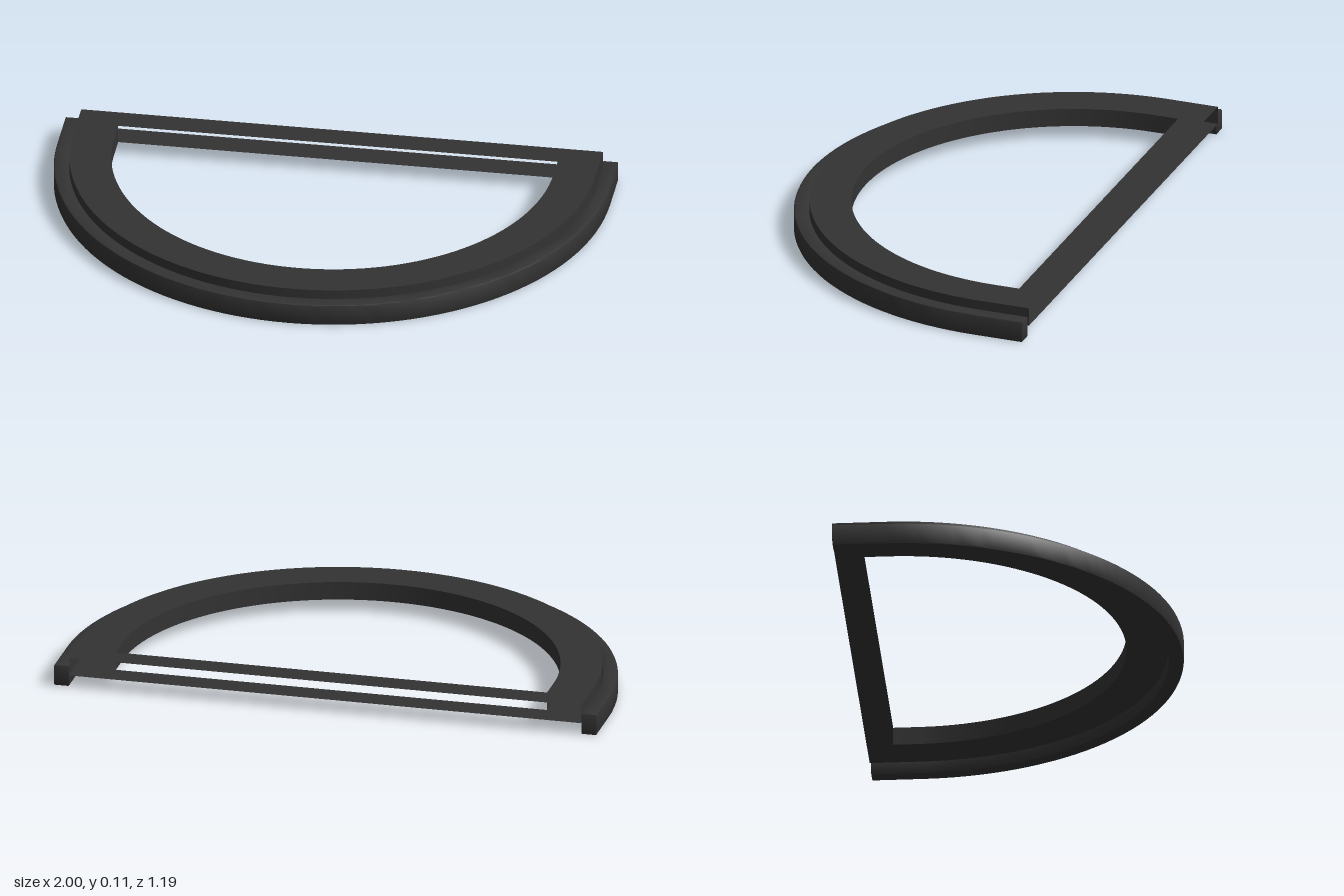
import * as THREE from 'three';
import { toCreasedNormals } from 'three/addons/utils/BufferGeometryUtils.js';

const CENTRE_Z = -0.405; // centre of the half circle
const BACK_Z = -0.595;   // straight rear edge
const ARC_STEPS = 64;

// Open D outline in (x, z): straight leg, half circle, straight leg
function dPath(radius, endZ) {
  const points = [new THREE.Vector2(radius, endZ)];
  for (let i = 0; i <= ARC_STEPS; i++) {
    const a = (i / ARC_STEPS) * Math.PI;
    points.push(new THREE.Vector2(radius * Math.cos(a), CENTRE_Z + radius * Math.sin(a)));
  }
  points.push(new THREE.Vector2(-radius, endZ));
  return points;
}

// Upright wall following an outline
function wallGeometry(path, bottom, top) {
  const geometry = new THREE.PlaneGeometry(1, 1, path.length - 1, 1);
  const pos = geometry.attributes.position;
  for (let i = 0; i < pos.count; i++) {
    const p = path[i % path.length];
    pos.setXYZ(i, p.x, i < path.length ? top : bottom, p.y);
  }
  geometry.computeVertexNormals();
  return geometry;
}

export function createModel() {
  const group = new THREE.Group();
  const solid = new THREE.MeshStandardMaterial({ color: 0x333333 });
  const sheet = new THREE.MeshStandardMaterial({ color: 0x333333, side: THREE.DoubleSide });
  const add = (name, geometry, material) => {
    const mesh = new THREE.Mesh(geometry, material);
    mesh.name = name;
    group.add(mesh);
  };

  // Outer rim: solid U-shaped band with softened edges
  const bevel = 0.006;
  const rimShape = new THREE.Shape([
    ...dPath(1 - bevel, -0.59 + bevel),
    ...dPath(0.945 + bevel, -0.59 + bevel).reverse(),
  ]);
  const rim = new THREE.ExtrudeGeometry(rimShape, {
    depth: 0.08 - 2 * bevel, bevelEnabled: true,
    bevelSize: bevel, bevelThickness: bevel, bevelSegments: 2,
  });
  rim.rotateX(Math.PI / 2).translate(0, 0.08 - bevel, 0);
  add('outerRim', toCreasedNormals(rim, 0.6), solid);

  // Hollow inner frame: two D-shaped sheets, open along the straight bar
  const low = 0.045, high = 0.112;
  const outer = dPath(0.944, BACK_Z);
  const inner = dPath(0.795, -0.5);
  const frameShape = new THREE.Shape(outer);
  frameShape.holes.push(new THREE.Path(inner));
  for (const [name, y] of [['frameTop', high], ['frameBottom', low]]) {
    const geometry = new THREE.ShapeGeometry(frameShape);
    geometry.rotateX(Math.PI / 2).translate(0, y, 0);
    add(name, geometry, sheet);
  }

  // Curved walls joining the two sheets
  add('frameOuterWall', wallGeometry(outer, low, high), sheet);
  add('frameInnerWall', wallGeometry(inner, low, high), sheet);

  return group;
}
